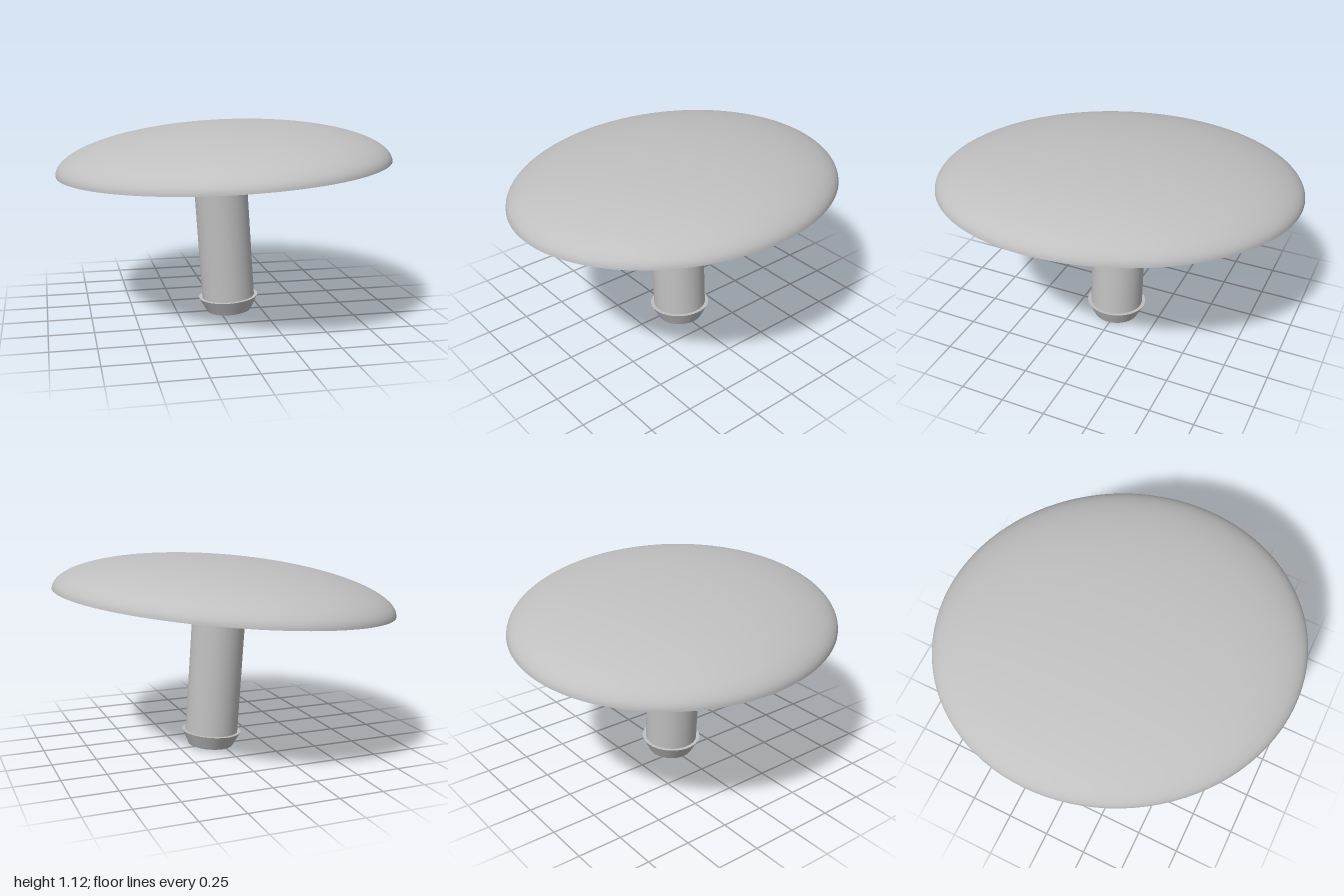
import * as THREE from 'three';

export function createModel() {
  const model = new THREE.Group();
  model.name = 'domedPushPin';
  const grey = new THREE.MeshStandardMaterial({ color: 0xc0c0c0 });
  grey.name = 'plain grey';

  const add = (parent, name, geometry, y = 0) => {
    const mesh = new THREE.Mesh(geometry, grey);
    mesh.name = name;
    mesh.position.y = y;
    parent.add(mesh);
  };

  // Everything leans together about the centre of the cap's rim
  const body = new THREE.Group();
  body.name = 'tiltedBody';
  body.position.y = 0.878;
  body.rotation.set(-0.006, 0, 0.0676);
  model.add(body);

  // Oval cap: half-ellipsoid dome over a shallow hollow, meeting at a sharp rim
  const STEPS = 32, DOME = 0.234, HOLLOW = 0.125;
  const dome = [], hollow = [];
  for (let i = 0; i <= STEPS; i++) {
    const a = (i / STEPS) * Math.PI / 2;
    dome.push(new THREE.Vector2(i === STEPS ? 0 : Math.cos(a), DOME * Math.sin(a)));
    const r = i / STEPS;
    hollow.push(new THREE.Vector2(r, HOLLOW * (1 - r * r)));
  }
  const oval = (points) => new THREE.LatheGeometry(points, 96)
    .scale(0.897, 1, 1.025)
    .rotateY(THREE.MathUtils.degToRad(27));
  add(body, 'capDome', oval(dome));
  add(body, 'capUnderside', oval(hollow));

  // Neck inside the hollow, then the stem
  add(body, 'neck', new THREE.CylinderGeometry(0.15, 0.15, 0.14, 64), 0.07);
  add(body, 'stem', new THREE.CylinderGeometry(0.153, 0.153, 0.79, 64), -0.395);

  // Tapered retaining foot
  add(body, 'foot', new THREE.CylinderGeometry(0.173, 0.13, 0.084, 64), -0.828);

  return model;
}
